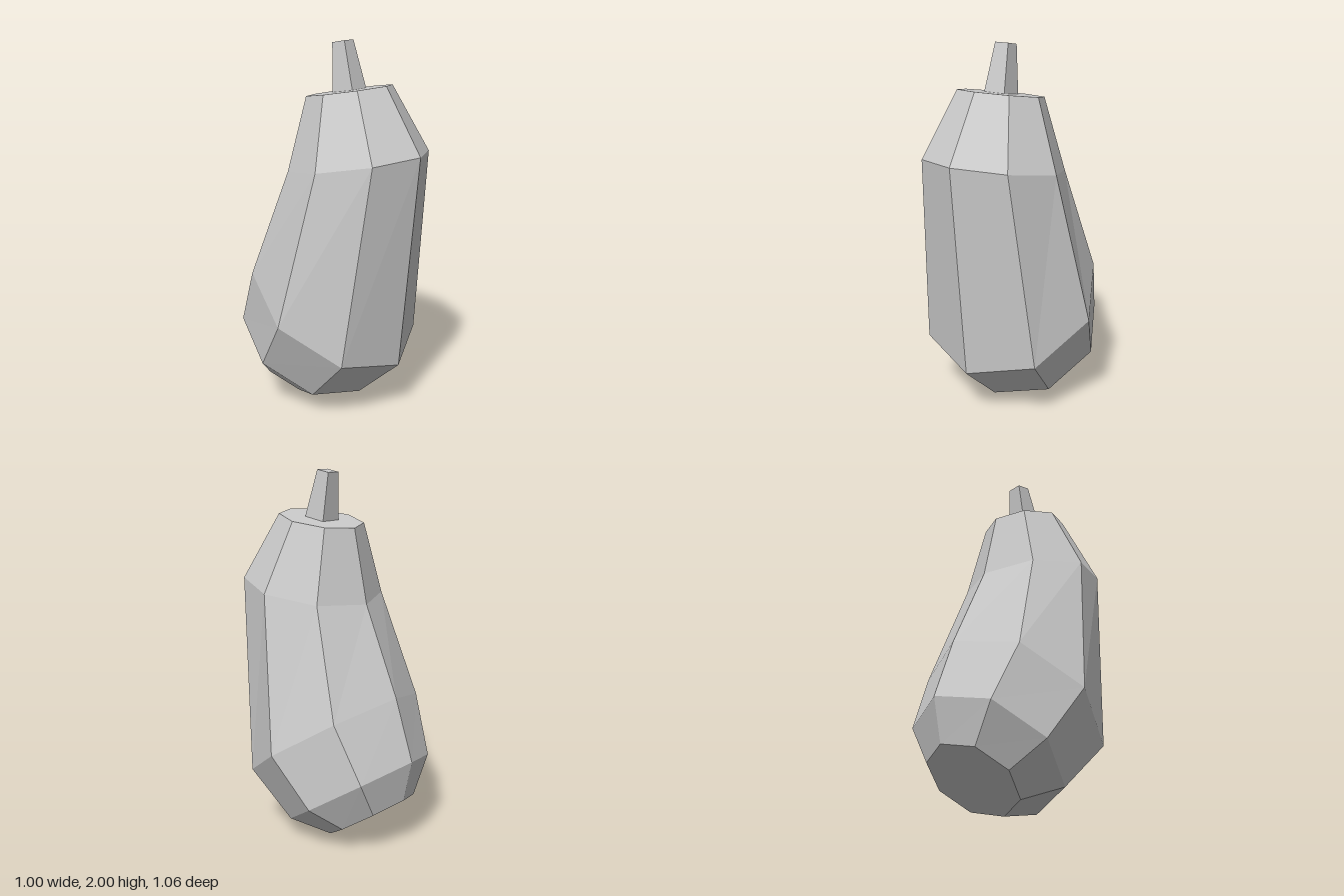
import * as THREE from 'three';

const material = new THREE.MeshStandardMaterial({ color: 0xcccccc, flatShading: true });

// Loft through tilted rings, listed bottom to top. Each ring is
// [frontZ, frontY, backZ, backY, halfWidth]; phase turns the corners.
function loft(name, rings, sides, phase = 0, scale = 1) {
  const corner = ([fz, fy, bz, by, w], k) => {
    const a = phase + (k / sides) * Math.PI * 2;
    const c = Math.cos(a) * scale;
    const s = Math.sin(a) * scale;
    return [w * s, (fy + by) / 2 + ((fy - by) / 2) * c, (fz + bz) / 2 + ((fz - bz) / 2) * c];
  };
  const centre = ([fz, fy, bz, by]) => [0, (fy + by) / 2, (fz + bz) / 2];
  const first = rings[0];
  const last = rings[rings.length - 1];
  const pos = [];
  for (let k = 0; k < sides; k++) {
    // side panels
    for (let i = 0; i < rings.length - 1; i++) {
      const a = corner(rings[i], k), b = corner(rings[i], k + 1);
      const c = corner(rings[i + 1], k + 1), d = corner(rings[i + 1], k);
      pos.push(...a, ...b, ...c, ...a, ...c, ...d);
    }
    // end caps
    pos.push(...centre(first), ...corner(first, k + 1), ...corner(first, k));
    pos.push(...centre(last), ...corner(last, k), ...corner(last, k + 1));
  }
  const geometry = new THREE.BufferGeometry();
  geometry.setAttribute('position', new THREE.Float32BufferAttribute(pos, 3));
  geometry.computeVertexNormals();
  const mesh = new THREE.Mesh(geometry, material);
  mesh.name = name;
  return mesh;
}

export function createModel() {
  const group = new THREE.Group();
  group.name = 'eggplant';

  // Bent eight-sided body, its rings tilting more towards the bottom
  group.add(loft('body', [
    [-0.06, 0.005, -0.48, 0.285, 0.255],
    [0.17, 0.052, -0.53, 0.517, 0.42],
    [0.427, 0.285, -0.42, 0.845, 0.502],
    [0.53, 1.443, -0.217, 1.317, 0.378],
    [0.32, 1.782, -0.133, 1.708, 0.227],
  ], 8));

  // Tapered square stem leaning back
  group.add(loft('stem', [
    [0.155, 1.755, 0.03, 1.735, 0.062],
    [0.088, 2.0, 0.012, 1.987, 0.04],
  ], 4, Math.PI / 4, Math.SQRT2));

  return group;
}
